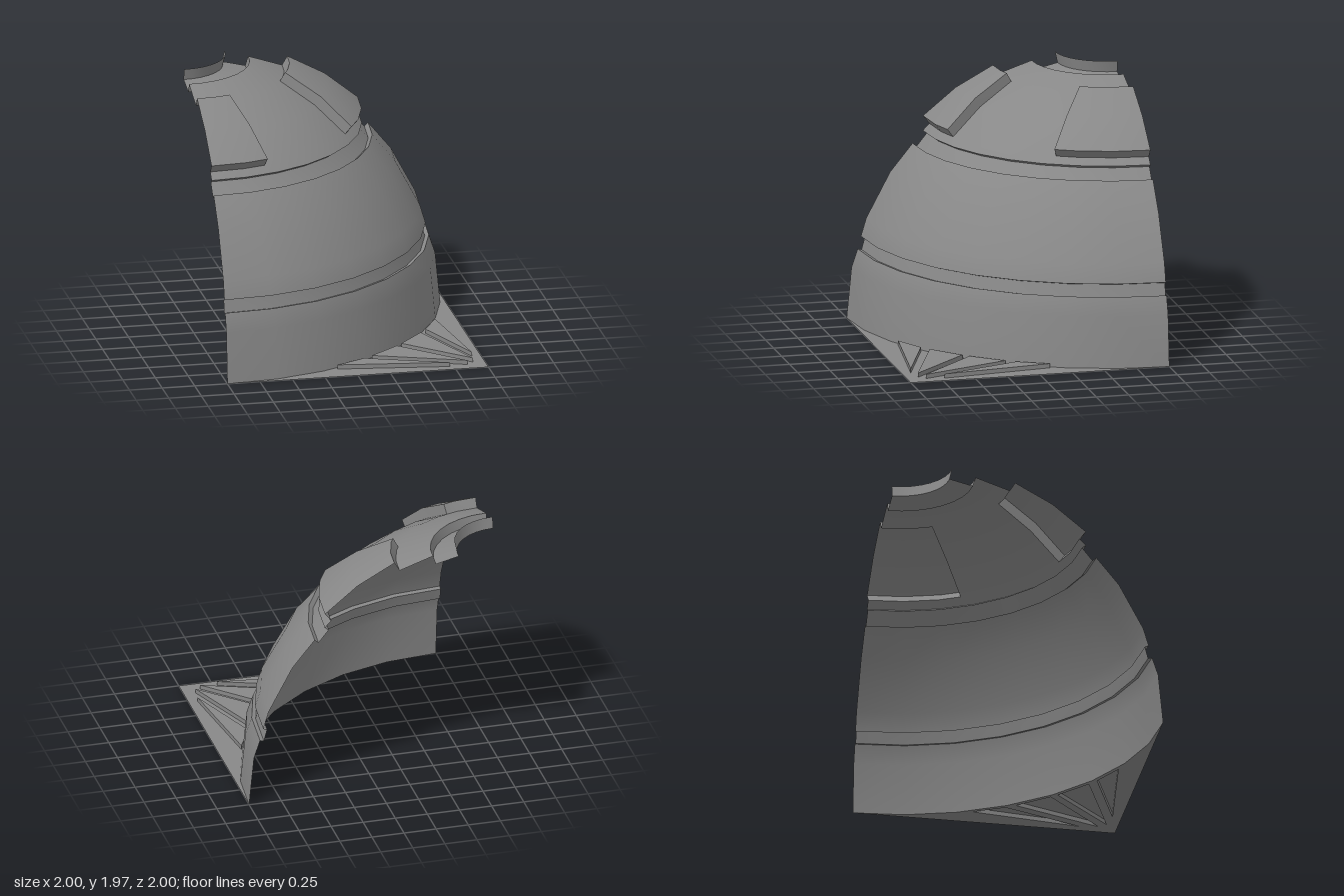
import * as THREE from 'three';

const material = new THREE.MeshStandardMaterial({ color: 0x888888, side: THREE.DoubleSide });
const STEP = 11.25; // eight facets in the quarter turn
const rad = THREE.MathUtils.degToRad;

// Point on the faceted dome; angle runs from +z towards +x about the corner (-1, -1)
function polar(r, y, deg) {
  const k = Math.cos(rad(STEP / 2)) / Math.cos(rad((deg % STEP) - STEP / 2));
  return [-1 + r * k * Math.sin(rad(deg)), y, -1 + r * k * Math.cos(rad(deg))];
}

// Smooth surface through equal-length rows of points
function sheet(name, rows) {
  const n = rows[0].length, index = [];
  for (let i = 0; i < rows.length - 1; i++) {
    for (let j = 0; j < n - 1; j++) {
      const a = i * n + j, b = a + n;
      index.push(a, a + 1, b, a + 1, b + 1, b);
    }
  }
  const geo = new THREE.BufferGeometry();
  geo.setAttribute('position', new THREE.Float32BufferAttribute(rows.flat(2), 3));
  geo.setIndex(index);
  geo.computeVertexNormals();
  const mesh = new THREE.Mesh(geo, material);
  mesh.name = name;
  return mesh;
}

// Swept band; each profile entry is [radius, height, startAngle, endAngle]
function band(name, profile) {
  const lo = Math.max(...profile.map(p => p[2] ?? 0));
  const hi = Math.min(...profile.map(p => p[3] ?? 90));
  const inner = [];
  for (let a = STEP; a < 90; a += STEP) if (a > lo && a < hi) inner.push(a);
  return sheet(name, profile.map(([r, y, a = 0, b = 90]) =>
    [a, ...inner, b].map(d => polar(r, y, d))));
}

// Band shaded as part of the sphere, so neighbouring pieces blend without a seam
function domeBand(name, profile) {
  const mesh = band(name, profile);
  const { position, normal } = mesh.geometry.attributes;
  const centre = new THREE.Vector3(-1, 0, -1), v = new THREE.Vector3();
  for (let i = 0; i < position.count; i++) {
    v.fromBufferAttribute(position, i).sub(centre).normalize();
    normal.setXYZ(i, v.x, v.y, v.z);
  }
  return mesh;
}

// Flat shape drawn in (x, z), laid at height y facing up
function flat(name, shape, y) {
  const geo = new THREE.ShapeGeometry(shape);
  geo.rotateX(-Math.PI / 2);
  const mesh = new THREE.Mesh(geo, material);
  mesh.position.y = y;
  mesh.name = name;
  return mesh;
}
const vec = ([x, z]) => new THREE.Vector2(x, -z);

export function createModel() {
  const model = new THREE.Group();
  model.name = 'quarterDome';

  // Main shell bands, separated by recessed grooves
  const low = [1.915, 0.53], lowIn = [1.885, 0.522];
  const lip = [1.86, 0.615], lipOut = [1.89, 0.625];
  const high = [1.49, 1.322], highIn = [1.46, 1.296];
  const collarLip = [1.38, 1.395], collarOut = [1.412, 1.416];
  const crown = [0.57, 1.907], crownIn = [0.548, 1.835];
  const throat = [0.37, 1.878];
  const bands = {
    lowerShell: [[2, 0], [1.962, 0.39], low],
    lowerLedge: [low, lowIn],
    lowerGroove: [lowIn, lip],
    middleLip: [lip, lipOut],
    middleShell: [lipOut, [1.848, 0.765], [1.663, 1.111], high],
    upperLedge: [high, highIn],
    upperGroove: [highIn, collarLip],
    upperLip: [collarLip, collarOut],
    crownLedge: [crown, crownIn],
    crownGroove: [crownIn, throat],
    crownCollar: [throat, [0.39, 1.965]],
  };
  for (const [name, profile] of Object.entries(bands)) model.add(band(name, profile));

  // Upper shell, left open beneath the two raised plates
  const base = [[1.36, 1.467], [1.111, 1.663], [0.83, 1.82]];
  const outer = [[1.41, 1.53], [1.156, 1.735], [0.87, 1.889]];
  const frontEdge = [18.6, 18, 17.4];
  const sideEdge = [60.3, 61.6, 63.2];
  model.add(domeBand('upperShellFoot', [collarOut, base[0]]));
  model.add(domeBand('upperShell', base.map((p, i) => [...p, frontEdge[i], sideEdge[i]])));
  model.add(domeBand('upperShellTop', [base[2], crown]));

  // Raised plates with their rims
  const spans = { frontPlate: frontEdge.map(a => [0, a]), sidePlate: sideEdge.map(a => [a, 90]) };
  for (const [name, span] of Object.entries(spans)) {
    const plate = new THREE.Group();
    plate.name = name;
    const b = base.map((p, i) => [...p, ...span[i]]);
    const o = outer.map((p, i) => [...p, ...span[i]]);
    plate.add(domeBand('plateFace', o));
    plate.add(band('plateBottomRim', [b[0], o[0]]));
    plate.add(band('plateTopRim', [o[2], b[2]]));
    const front = name === 'frontPlate';
    const edge = list => list.map(([r, y, s, e]) => polar(r, y, front ? e : s));
    plate.add(sheet('plateSideRim', front ? [edge(b), edge(o)] : [edge(o), edge(b)]));
    model.add(plate);
  }

  // Raised triangles on the floor corner, mirrored across the diagonal
  const half = [
    [[0.82, -0.12], [0.70, 0.11], [0.93, 0.72]],
    [[0.65, 0.18], [0.455, 0.41], [0.91, 0.86]],
  ];
  const triangles = [...half, ...half.map(t => t.map(([x, z]) => [z, x]).reverse())];

  // Floor corner between the dome foot and the square outline
  const floor = new THREE.Shape([[-1, 1], [1, 1], [1, -1]].map(vec));
  for (let a = 90 - STEP; a > 0; a -= STEP) {
    const [x, , z] = polar(2, 0, a);
    floor.lineTo(x, -z);
  }
  floor.closePath();
  floor.holes = triangles.map(t => new THREE.Path([...t, t[0]].map(vec)));
  model.add(flat('floorCorner', floor, 0));

  for (const t of triangles) {
    const rib = new THREE.Group();
    rib.name = 'floorTriangle';
    rib.add(flat('triangleTop', new THREE.Shape(t.map(vec)), 0.033));
    t.forEach((p, i) => {
      const q = t[(i + 1) % 3];
      rib.add(sheet('triangleWall', [0, 0.033].map(y => [[p[0], y, p[1]], [q[0], y, q[1]]])));
    });
    model.add(rib);
  }
  return model;
}
